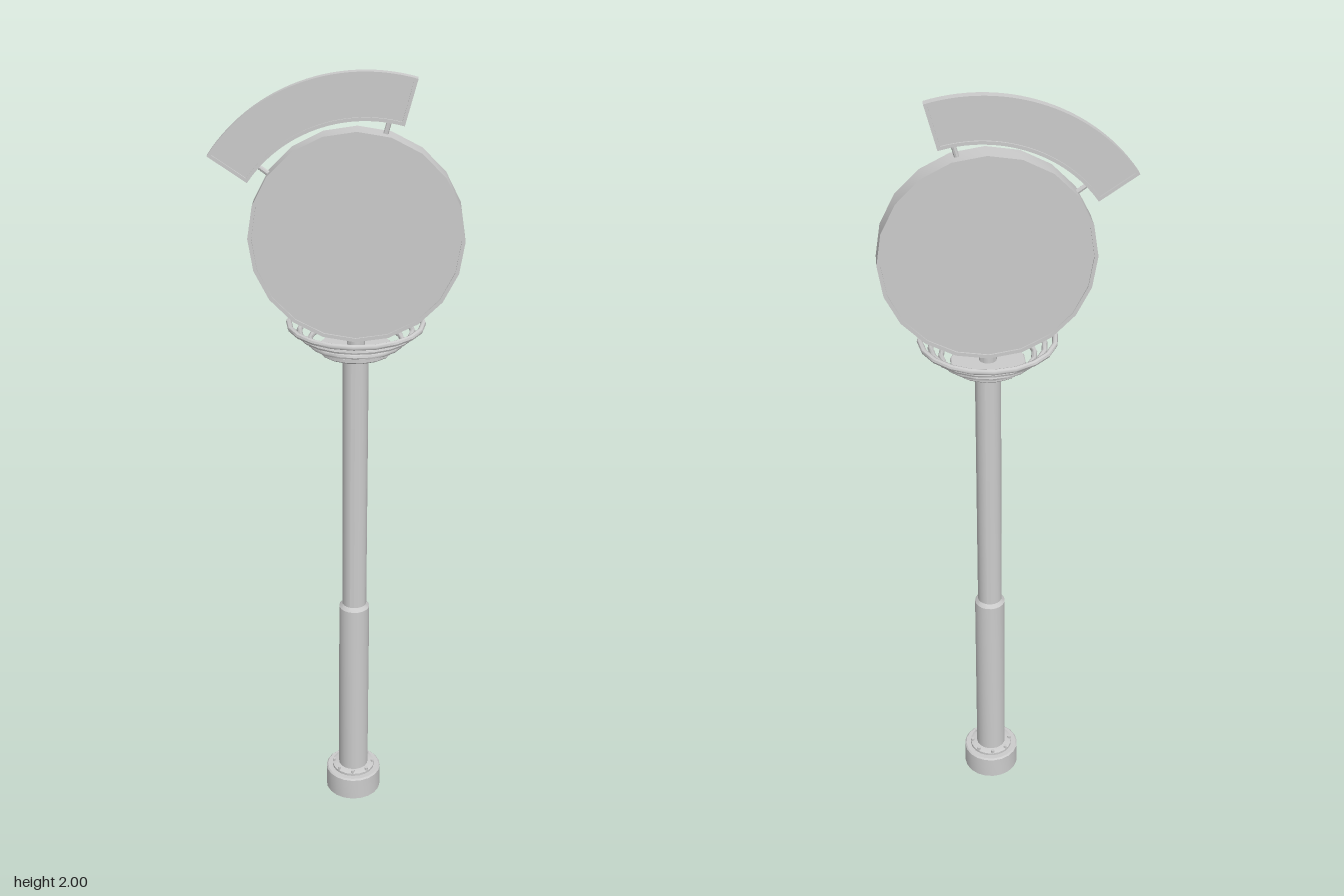
import * as THREE from 'three';
import { toCreasedNormals } from 'three/addons/utils/BufferGeometryUtils.js';

const material = new THREE.MeshStandardMaterial({ color: 0xcccccc });

function addMesh(parent, name, geometry, crease = 0.6) {
  const mesh = new THREE.Mesh(toCreasedNormals(geometry, crease), material);
  mesh.name = name;
  parent.add(mesh);
  return mesh;
}

// Solid of revolution; profile runs from bottom to top
function lathe(profile, sides, start = 0) {
  return new THREE.LatheGeometry(profile.map(([r, y]) => new THREE.Vector2(r, y)), sides, start);
}

// Curved banner outline, shrunk on all sides by an inset
function bannerOutline(Outline, inset) {
  const outer = 0.445 - inset, inner = 0.334 + inset;
  const a0 = THREE.MathUtils.degToRad(75), a1 = THREE.MathUtils.degToRad(146);
  const so = inset / outer, si = inset / inner;
  const path = new Outline();
  path.absarc(0, 0, outer, a0 + so, a1 - so, false);
  path.absarc(0, 0, inner, a1 - si, a0 + si, true);
  path.closePath();
  return path;
}

function extrude(shape, depth) {
  const geometry = new THREE.ExtrudeGeometry(shape, { depth, bevelEnabled: false, curveSegments: 14 });
  return geometry.translate(0, 0, -depth / 2);
}

export function createModel() {
  const model = new THREE.Group();
  model.name = 'signPost';
  const post = new THREE.Group();
  post.name = 'post';
  post.position.x = 0.045;
  model.add(post);

  // Foot with a stepped collar
  addMesh(post, 'base', lathe([
    [0, 0], [0.075, 0], [0.075, 0.062], [0.071, 0.066], [0.058, 0.066],
    [0.058, 0.073], [0.05, 0.076], [0, 0.076],
  ], 20));

  // Bolts around the foot
  for (let i = 0; i < 8; i++) {
    const a = (i / 8) * Math.PI * 2;
    const bolt = addMesh(post, 'bolt', new THREE.CylinderGeometry(0.005, 0.005, 0.012, 6));
    bolt.position.set(Math.cos(a) * 0.053, 0.076, Math.sin(a) * 0.053);
  }

  // Thick lower sleeve and slimmer upper pole
  addMesh(post, 'lowerPole', lathe([[0, 0.07], [0.04, 0.07], [0.04, 0.592], [0.032, 0.602], [0, 0.602]], 20));
  addMesh(post, 'upperPole', lathe([[0, 0.6], [0.032, 0.6], [0.032, 1.32], [0, 1.32]], 20));

  // Plates on top of the pole and a stem up to the sign
  for (const [name, radius, y] of [['lowerPlate', 0.056, 1.319], ['upperPlate', 0.092, 1.333]]) {
    addMesh(post, name, lathe([[0, -0.007], [radius - 0.003, -0.007], [radius, -0.004],
      [radius, 0.004], [radius - 0.003, 0.007], [0, 0.007]], 16, Math.PI / 16)).position.y = y;
  }
  addMesh(post, 'stem', new THREE.CylinderGeometry(0.022, 0.022, 0.06, 12)).position.y = 1.358;

  // Widening rings around the foot of the sign
  for (const [radius, y] of [[0.113, 1.354], [0.138, 1.377], [0.163, 1.398]]) {
    const ring = addMesh(post, 'ring', new THREE.TorusGeometry(radius, 0.007, 8, 20), 1);
    ring.rotation.x = Math.PI / 2;
    ring.position.y = y;
  }

  // Round sign with a thin raised rim on both faces
  const sign = new THREE.Group();
  sign.name = 'roundSign';
  sign.position.y = 1.614;
  post.add(sign);
  const panel = addMesh(sign, 'signPanel', lathe([
    [0, -0.025], [0.247, -0.025], [0.247, -0.029], [0.256, -0.029],
    [0.256, 0.029], [0.247, 0.029], [0.247, 0.025], [0, 0.025],
  ], 20));
  panel.rotation.x = Math.PI / 2;

  // Short struts carrying the banner
  for (const degrees of [75, 144]) {
    const a = THREE.MathUtils.degToRad(degrees);
    const strut = addMesh(sign, 'strut', new THREE.CylinderGeometry(0.006, 0.006, 0.065, 8), 1);
    strut.position.set(Math.cos(a) * 0.268, Math.sin(a) * 0.268, 0);
    strut.rotation.z = a - Math.PI / 2;
  }

  // Curved banner: recessed panel inside a frame
  const banner = new THREE.Group();
  banner.name = 'curvedBanner';
  banner.position.set(0.067, 1.556, -0.001);
  model.add(banner);
  const frame = bannerOutline(THREE.Shape, 0);
  frame.holes.push(bannerOutline(THREE.Path, 0.008));
  addMesh(banner, 'bannerFrame', extrude(frame, 0.022));
  addMesh(banner, 'bannerPanel', extrude(bannerOutline(THREE.Shape, 0.006), 0.014));

  return model;
}
